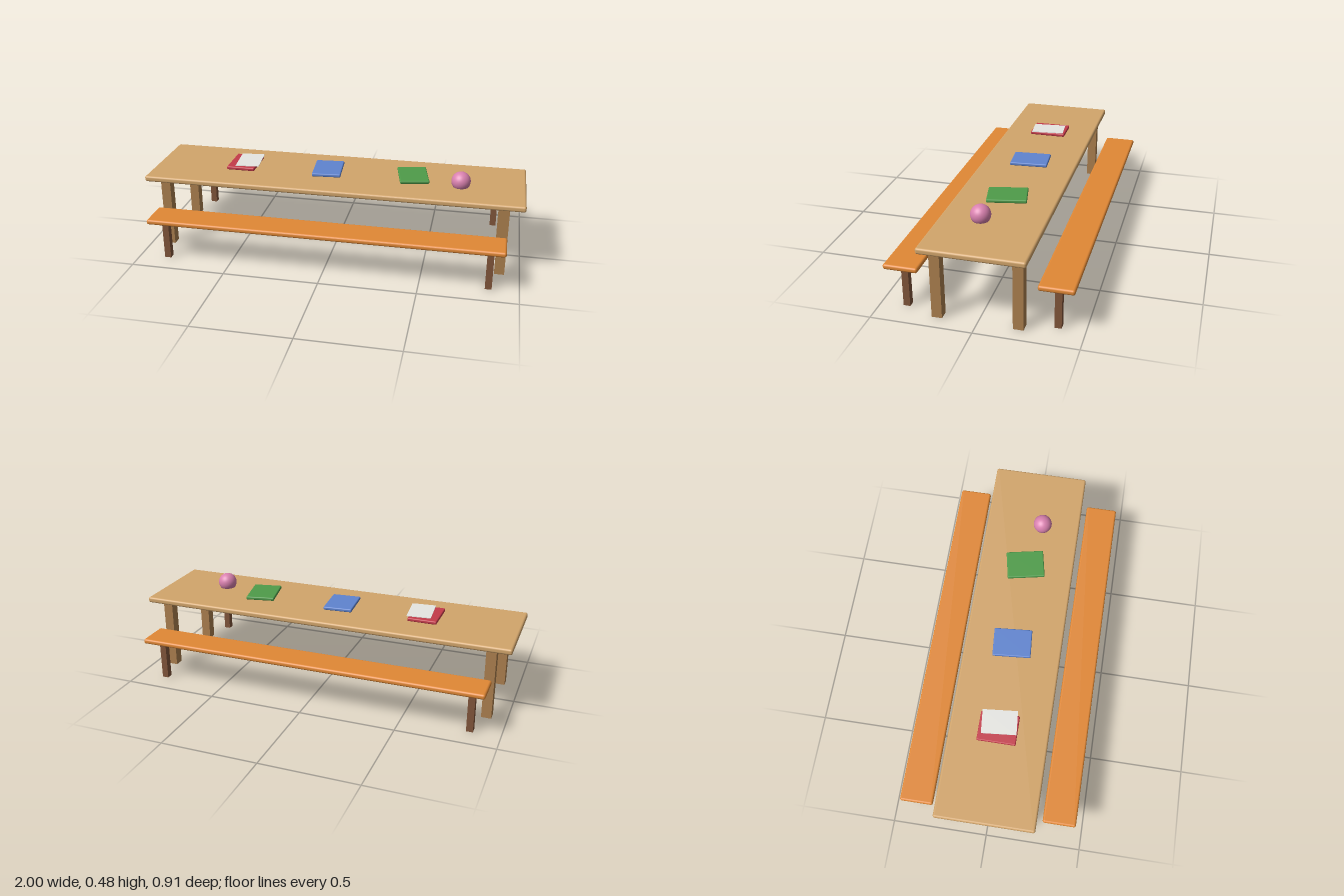
import * as THREE from 'three';
import { RoundedBoxGeometry } from 'three/addons/geometries/RoundedBoxGeometry.js';

const paint = (color) => new THREE.MeshStandardMaterial({ color });

export function createModel() {
  const model = new THREE.Group();
  const mats = {
    top: paint(0xd2a56b), tableLeg: paint(0xab7f4e),
    bench: paint(0xe18835), benchLeg: paint(0x80553a),
    red: paint(0xc43a4a), blue: paint(0x5f84d0), green: paint(0x4f9c4a),
    paper: paint(0xe6e6e2), ball: paint(0xd981af),
  };

  function add(parent, name, geometry, material, x, y, z, turn = 0) {
    const mesh = new THREE.Mesh(geometry, material);
    mesh.name = name;
    mesh.position.set(x, y, z);
    mesh.rotation.y = turn;
    parent.add(mesh);
    return mesh;
  }

  // Four or two square legs standing on the ground
  function addLegs(parent, name, size, height, x, zs, material) {
    const geometry = new THREE.BoxGeometry(size, height, size);
    for (const sx of [-1, 1])
      for (const z of zs) add(parent, name, geometry, material, sx * x, height / 2, z);
  }

  // Long table
  const table = new THREE.Group();
  table.name = 'table';
  model.add(table);
  add(table, 'tableTop', new RoundedBoxGeometry(2, 0.031, 0.51, 3, 0.011), mats.top, 0, 0.388, 0);
  addLegs(table, 'tableLeg', 0.051, 0.375, 0.897, [-0.197, 0.197], mats.tableLeg);

  // A bench along each long side
  const seat = new RoundedBoxGeometry(1.84, 0.027, 0.171, 3, 0.011);
  for (const side of [-1, 1]) {
    const bench = new THREE.Group();
    bench.name = side > 0 ? 'frontBench' : 'backBench';
    model.add(bench);
    add(bench, 'benchSeat', seat, mats.bench, 0, 0.2325, side * 0.37);
    addLegs(bench, 'benchLeg', 0.034, 0.221, 0.847, [side * 0.37], mats.benchLeg);
  }

  // Books, a loose sheet and a ball on the table
  const book = new RoundedBoxGeometry(0.153, 0.018, 0.2, 3, 0.006);
  add(model, 'redBook', book, mats.red, -0.515, 0.421, -0.005);
  add(model, 'blueBook', book, mats.blue, -0.05, 0.421, -0.005, 0.08);
  add(model, 'greenBook', book, mats.green, 0.41, 0.421, -0.005, 0.2);
  add(model, 'paperSheet', new THREE.BoxGeometry(0.125, 0.003, 0.18), mats.paper, -0.487, 0.4375, -0.003, 0.09);
  add(model, 'ball', new THREE.SphereGeometry(0.05, 32, 20), mats.ball, 0.665, 0.433, 0.053);

  return model;
}
